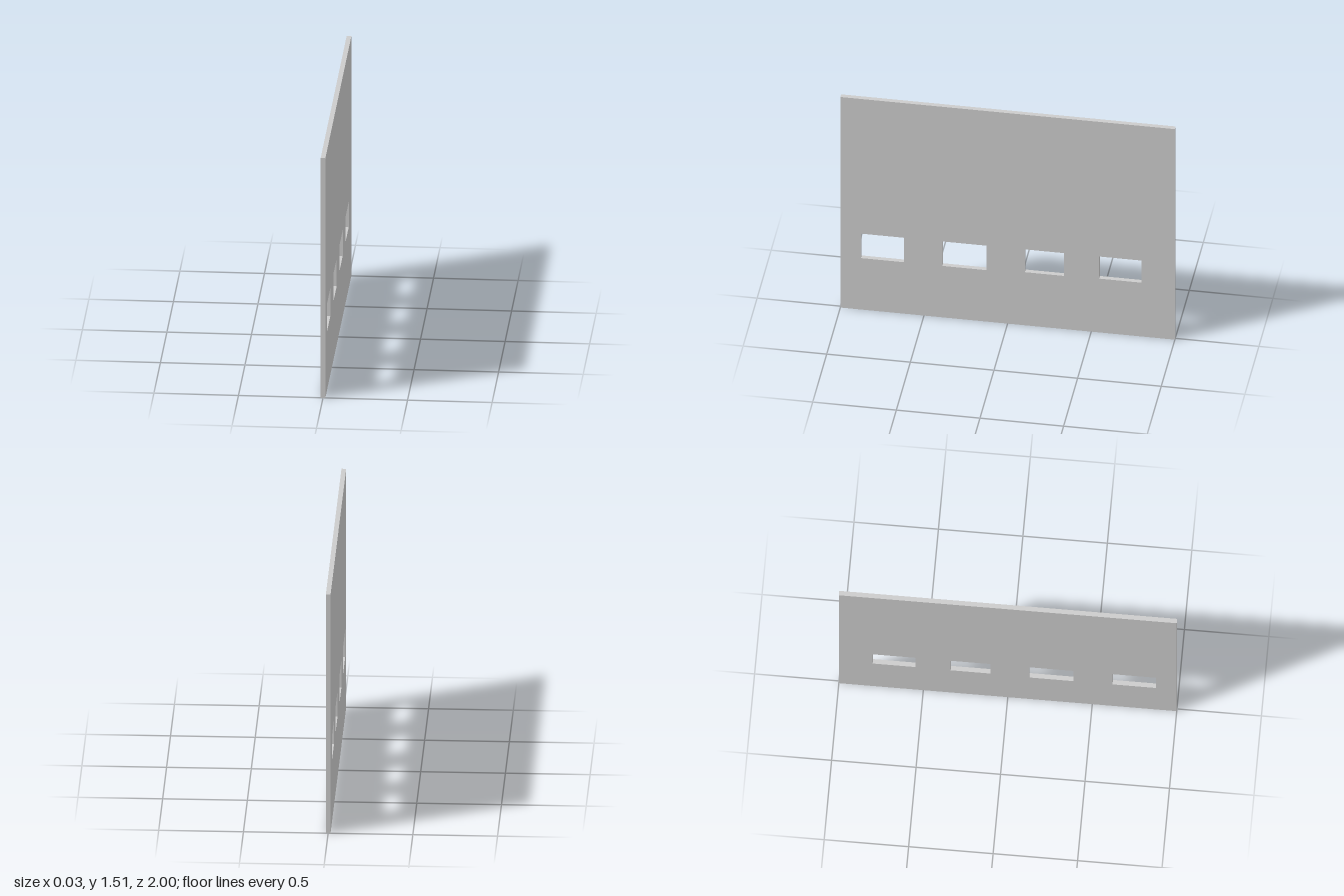
import * as THREE from 'three';

const HEIGHT = 1.515;
const THICKNESS = 0.028;

// Window openings: z start, z end, sill height, head height
const OPENINGS = [
  [0.62, 0.877, 0.37, 0.546],
  [0.127, 0.39, 0.37, 0.546],
  [-0.338, -0.103, 0.382, 0.546],
  [-0.8, -0.547, 0.387, 0.546],
];

function rectangle(PathType, x0, x1, y0, y1) {
  const path = new PathType();
  path.moveTo(x0, y0).lineTo(x1, y0).lineTo(x1, y1).lineTo(x0, y1).closePath();
  return path;
}

export function createModel() {
  const group = new THREE.Group();
  group.name = 'wallPanel';

  // Wall outline with the openings cut through it
  const outline = rectangle(THREE.Shape, -1, 1, 0, HEIGHT);
  for (const opening of OPENINGS) outline.holes.push(rectangle(THREE.Path, ...opening));

  // Extrude the thickness, centre it, then turn the wall to run along z
  const geometry = new THREE.ExtrudeGeometry(outline, { depth: THICKNESS, bevelEnabled: false });
  geometry.translate(0, 0, -THICKNESS / 2);
  geometry.rotateY(-Math.PI / 2);

  const wall = new THREE.Mesh(geometry, new THREE.MeshStandardMaterial({ color: 0xcccccc }));
  wall.name = 'wallWithWindowOpenings';
  group.add(wall);
  return group;
}
